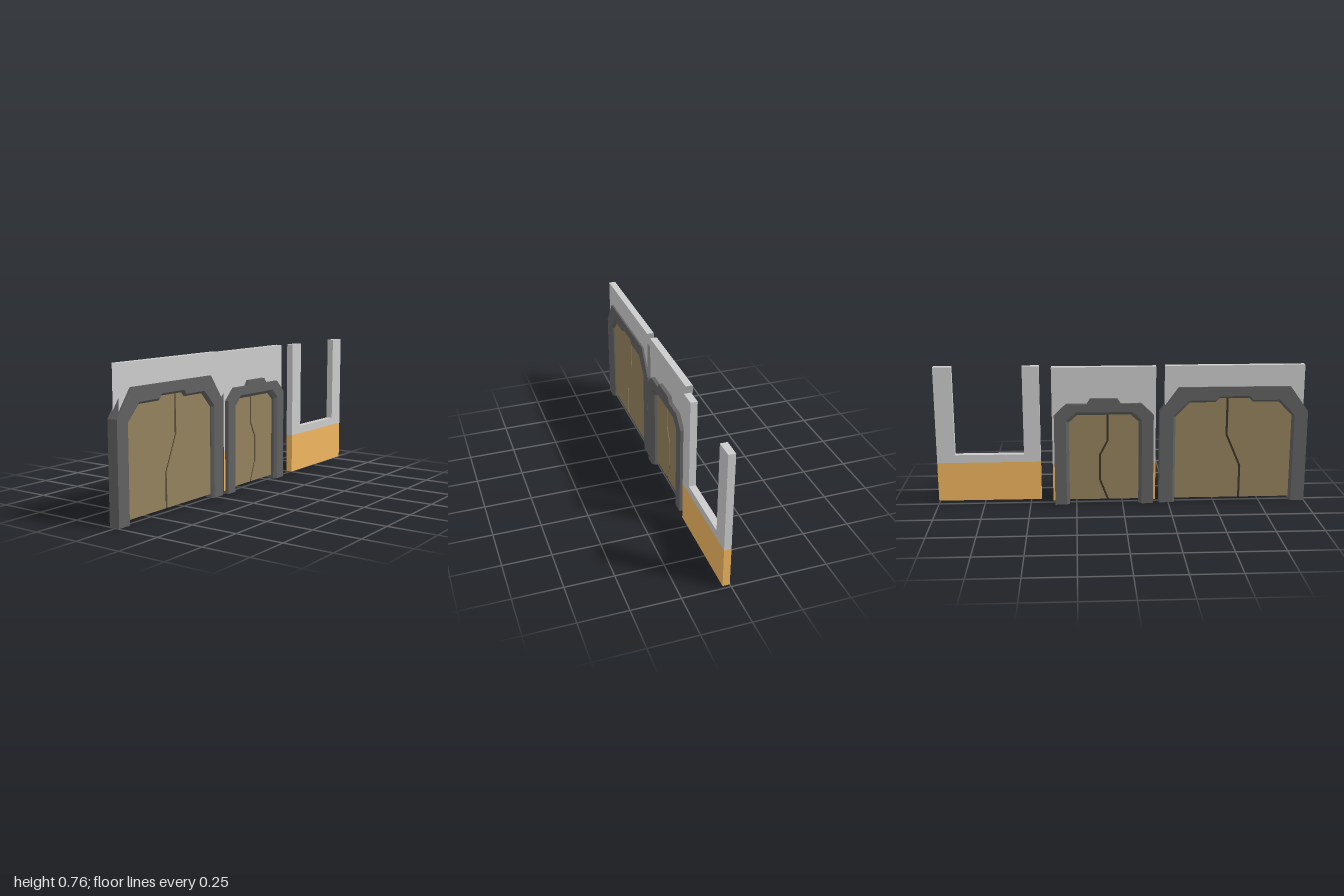
import * as THREE from 'three';

const mat = (color, side = THREE.FrontSide) => new THREE.MeshStandardMaterial({ color, side, flatShading: true });
const wallMat = mat(0xcccccc);
const sheetMat = mat(0xcccccc, THREE.DoubleSide);
const skirtMat = mat(0xf0b55f);
const skirtSheetMat = mat(0xf0b55f, THREE.DoubleSide);
const frameMat = mat(0x616161);
const doorMat = mat(0x94825e);
const seamMat = mat(0x3a3428);

const MID = -0.0065; // x of the gates' centre plane
const WALL = 0.0185; // half thickness of every wall
const BASE = 0.016, SKIRT = 0.23;

function add(group, name, geometry, material) {
  const mesh = new THREE.Mesh(geometry, material);
  mesh.name = name;
  group.add(mesh);
  return mesh;
}

// Outline given as [z, y] pairs, standing in the zy plane
const outline = (pts) => new THREE.Shape(pts.map(([z, y]) => new THREE.Vector2(-z, y)));

function slab(pts, x0, x1) {
  return new THREE.ExtrudeGeometry(outline(pts), { depth: x1 - x0, bevelEnabled: false })
    .rotateY(Math.PI / 2).translate(x0, 0, 0);
}

function sheet(pts, x) {
  return new THREE.ShapeGeometry(outline(pts)).rotateY(Math.PI / 2).translate(x, 0, 0);
}

const rect = (z0, z1, y0, y1) => [[z0, y0], [z1, y0], [z1, y1], [z0, y1]];

// Half an arch as [distance from centre, height], mirrored to a full one
const arch = (half, c) => [
  ...half.map(([d, y]) => [c + d, y]),
  ...half.slice().reverse().map(([d, y]) => [c - d, y]),
];

// Arched surround: a six-sided section carried along the arch
function surround(c, outer, face, inner, depth, innerDepth) {
  const [o, f, n] = [outer, face, inner].map((h) => arch(h, c));
  const rings = o.map((_, i) => [
    [-depth, o[i]], [depth, o[i]], [depth, f[i]],
    [innerDepth, n[i]], [-innerDepth, n[i]], [-depth, f[i]],
  ].map(([x, [z, y]]) => [MID + x, y, z]));
  const pos = [];
  const tri = (a, b, d) => pos.push(...a, ...b, ...d);
  for (let i = 0; i < rings.length - 1; i++) {
    for (let j = 0; j < 6; j++) {
      const k = (j + 1) % 6, r = rings[i], s = rings[i + 1];
      tri(r[j], r[k], s[k]);
      tri(r[j], s[k], s[j]);
    }
  }
  const first = rings[0], last = rings[rings.length - 1];
  for (let j = 1; j < 5; j++) {
    tri(first[0], first[j + 1], first[j]);
    tri(last[0], last[j], last[j + 1]);
  }
  const g = new THREE.BufferGeometry();
  g.setAttribute('position', new THREE.Float32BufferAttribute(pos, 3));
  g.computeVertexNormals();
  return g;
}

function gate(name, p) {
  const g = new THREE.Group();
  g.name = name;
  add(g, 'archFrame', surround(p.c, p.outer, p.face, p.inner, p.depth, p.innerDepth), frameMat);

  // Two door leaves meeting along a kinked seam
  const leafTop = p.inner.map(([d, y]) => [d + 0.008, Math.max(y + 0.008, 0.02)]);
  for (const side of [1, -1]) {
    const edge = leafTop.map(([d, y], i) => [p.c + side * d, i ? y : 0.02]);
    const top = edge[edge.length - 1][1];
    const seam = p.seam.map(([z, y]) => [z + side * 0.006, y ?? top]);
    add(g, side > 0 ? 'frontDoorLeaf' : 'backDoorLeaf',
      slab([...edge, ...seam], MID - 0.01, MID + 0.01), doorMat);
  }
  const strip = (s) => p.seam.map(([z, y]) => [z + s * 0.008, y ?? p.inner[4][1]]);
  add(g, 'doorSeam', slab([...strip(1), ...strip(-1).reverse()], MID - 0.005, MID + 0.005), seamMat);

  // Hollow wall around the arch, open at its ends
  const [z0, z1] = p.wall;
  const hole = arch(p.hole, p.c);
  const [h0, h1] = [hole[0][0], hole[hole.length - 1][0]];
  for (const s of [1, -1]) {
    const x = MID + s * WALL;
    add(g, 'wallSide', sheet([[z0, SKIRT], [z0, p.top], [z1, p.top], [z1, SKIRT], ...hole.slice().reverse()], x), sheetMat);
    add(g, 'skirting', sheet(rect(z0, h0, BASE, SKIRT), x), skirtSheetMat);
    add(g, 'skirting', sheet(rect(h1, z1, BASE, SKIRT), x), skirtSheetMat);
  }
  const cap = new THREE.PlaneGeometry(WALL * 2, z0 - z1).rotateX(-Math.PI / 2);
  add(g, 'wallTop', cap.translate(MID, p.top, (z0 + z1) / 2), sheetMat);
  return g;
}

export function createModel() {
  const model = new THREE.Group();
  model.name = 'gateWallSet';

  model.add(gate('largeGate', {
    c: 0.6, depth: 0.029, innerDepth: 0.017, wall: [0.975, 0.228], top: 0.758,
    outer: [[0.4, 0], [0.4, 0.505], [0.3, 0.643], [0.1, 0.643], [0.08, 0.643]],
    face: [[0.327, 0], [0.327, 0.486], [0.246, 0.57], [0.1, 0.57], [0.085, 0.592]],
    inner: [[0.315, 0], [0.315, 0.48], [0.24, 0.558], [0.1, 0.558], [0.08, 0.58]],
    hole: [[0.35, SKIRT], [0.35, 0.5], [0.265, 0.605]],
    seam: [[0.565, null], [0.565, 0.375], [0.64, 0.2], [0.64, 0.02]],
  }));

  model.add(gate('smallGate', {
    c: -0.1, depth: 0.0395, innerDepth: 0.025, wall: [0.179, -0.377], top: 0.755,
    outer: [[0.266, 0], [0.266, 0.497], [0.2, 0.56], [0.09, 0.56], [0.072, 0.588]],
    face: [[0.203, 0], [0.203, 0.47], [0.152, 0.515], [0.09, 0.515], [0.072, 0.515]],
    inner: [[0.187, 0], [0.187, 0.458], [0.142, 0.498], [0.09, 0.498], [0.072, 0.498]],
    hole: [[0.235, SKIRT], [0.235, 0.48], [0.175, 0.535]],
    seam: [[-0.08, null], [-0.08, 0.35], [-0.122, 0.27], [-0.122, 0.13], [-0.08, 0.02]],
  }));

  // Solid wall piece with an open-topped window gap
  const wall = new THREE.Group();
  wall.name = 'windowWall';
  const [x0, x1] = [0.008, 0.045];
  add(wall, 'wall', slab([
    [-0.442, SKIRT], [-0.442, 0.755], [-0.532, 0.755], [-0.532, 0.273],
    [-0.903, 0.273], [-0.903, 0.755], [-1, 0.755], [-1, SKIRT],
  ], x0, x1), wallMat);
  add(wall, 'skirting', slab(rect(-0.442, -1, BASE, SKIRT), x0, x1), skirtMat);
  add(wall, 'wallUnderside', new THREE.PlaneGeometry(x1 - x0, 0.558)
    .rotateX(Math.PI / 2).translate((x0 + x1) / 2, BASE - 0.001, -0.721), wallMat);
  model.add(wall);
  return model;
}
